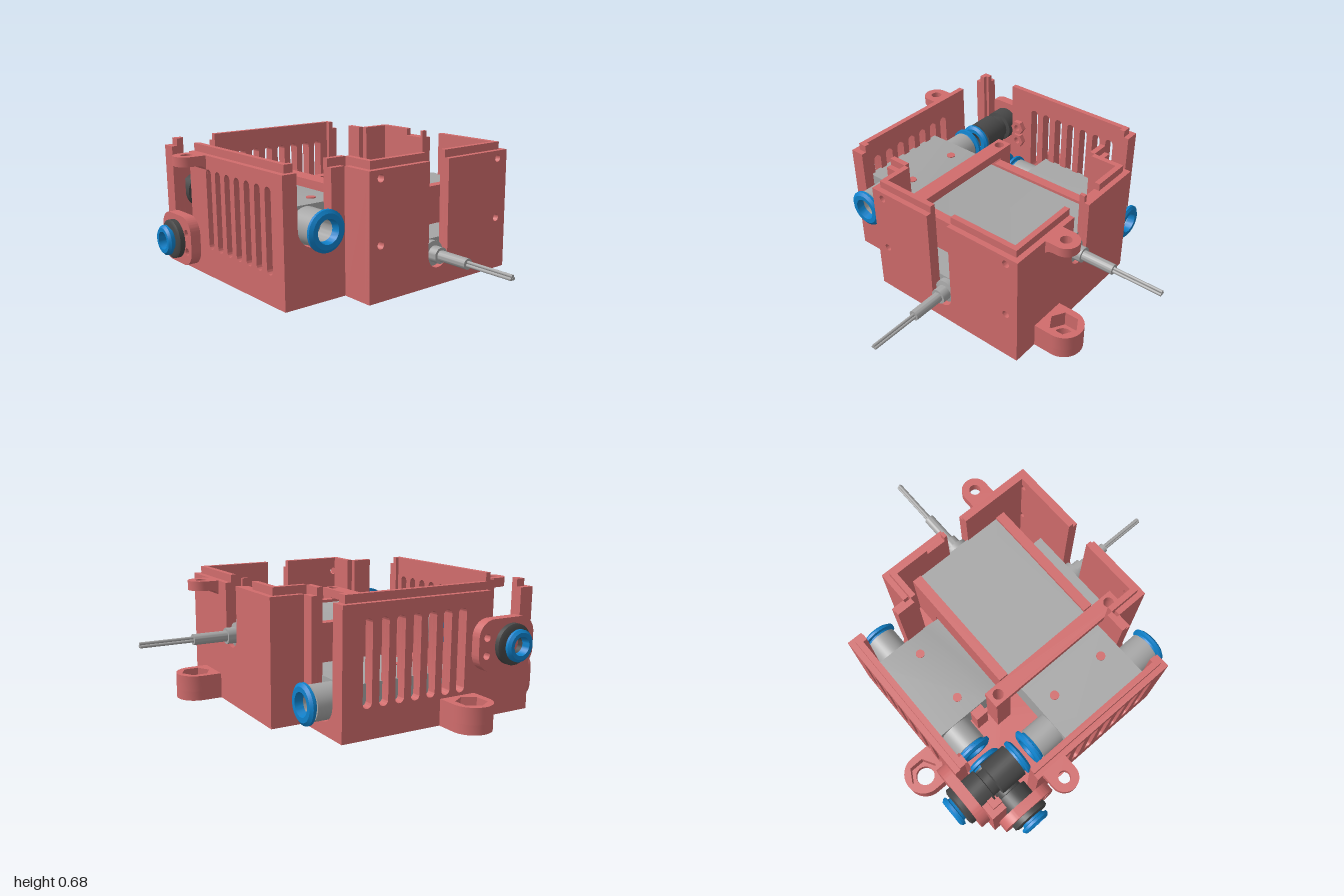
import * as THREE from 'three';
import { toCreasedNormals } from 'three/addons/utils/BufferGeometryUtils.js';

const mat = (name, color) => Object.assign(new THREE.MeshStandardMaterial({ color }), { name });
const V = (x, y, z) => new THREE.Vector3(x, y, z);

export function createModel() {
  const root = new THREE.Group();
  const red = mat('housing red', 0xd06c6c), gray = mat('valve gray', 0xa6a6a6);
  const dark = mat('fitting dark gray', 0x484848), blue = mat('collar blue', 0x0f82cc);

  const add = (parent, name, geo, m, x = 0, y = 0, z = 0) => {
    const mesh = new THREE.Mesh(geo, m);
    mesh.name = name;
    mesh.position.set(x, y, z);
    parent.add(mesh);
    return mesh;
  };
  const box = (name, x0, x1, y0, y1, z0, z1) => add(root, name,
    new THREE.BoxGeometry(x1 - x0, y1 - y0, z1 - z0), red, (x0 + x1) / 2, (y0 + y1) / 2, (z0 + z1) / 2);
  const extrude = (shape, depth) => toCreasedNormals(
    new THREE.ExtrudeGeometry(shape, { depth, bevelEnabled: false, curveSegments: 10 }), 0.6);
  const circle = (x, y, r) => new THREE.Path().absarc(x, y, r, 0, Math.PI * 2, false);
  const hex = (x, y, r) => new THREE.Path(Array.from({ length: 6 }, (_, i) =>
    new THREE.Vector2(x + r * Math.cos(i * Math.PI / 3), y + r * Math.sin(i * Math.PI / 3))));
  const poly = (pts, holes = []) => {
    const s = new THREE.Shape(pts.map(p => new THREE.Vector2(...p)));
    s.holes.push(...holes);
    return s;
  };
  const rect = (a, b, c, d, holes) => poly([[a, c], [b, c], [b, d], [a, d]], holes);
  // Horizontal slab: shape is drawn in (x, -z)
  const slab = (parent, name, shape, y0, h) =>
    add(parent, name, extrude(shape, h).rotateX(-Math.PI / 2), red, 0, y0, 0);
  // Lathed part pointing along dir
  const turned = (parent, name, pts, m, pos, dir) => {
    const geo = new THREE.LatheGeometry(pts.map(p => new THREE.Vector2(...p)), 32);
    const mesh = add(parent, name, toCreasedNormals(geo, 0.6), m, pos.x, pos.y, pos.z);
    mesh.quaternion.setFromUnitVectors(V(0, 1, 0), dir);
    return mesh;
  };

  // Floor with nut pockets below
  const outline = [[-0.82, 0.79], [0.3, 0.79], [0.3, 0.44], [0.48, 0.44],
    [0.48, -0.52], [-0.47, -0.52], [-0.47, -0.34], [-0.82, -0.34]];
  const strapHoles = [[-0.36, 0.37], [-0.36, -0.39]];
  const nuts = [[-0.18, 0.51], [0.14, 0.51], [-0.54, 0.15], [-0.54, -0.17], ...strapHoles];
  slab(root, 'floorUnderside', poly(outline, nuts.map(p => hex(...p, 0.036))), 0, 0.03);
  slab(root, 'floor', poly(outline, strapHoles.map(p => circle(...p, 0.025))), 0.03, 0.03);

  // Wall outline with open-topped notches [centre, half width, y, square], right to left
  const wallShape = (a, b, top, notches, holes) => {
    const s = new THREE.Shape();
    s.moveTo(a, 0).lineTo(b, 0).lineTo(b, top);
    for (const [c, r, y, square] of notches) {
      s.lineTo(c + r, top).lineTo(c + r, y);
      if (square) s.lineTo(c - r, y);
      else s.absarc(c, y, r, 0, Math.PI, true);
      s.lineTo(c - r, top);
    }
    s.lineTo(a, top);
    s.holes.push(...holes);
    return s;
  };
  const vents = first => Array.from({ length: 7 }, (_, i) => {
    const c = first + 0.09 * i, p = new THREE.Path();
    p.absarc(c, 0.545, 0.025, 0, Math.PI, false);
    p.absarc(c, 0.175, 0.025, Math.PI, Math.PI * 2, false);
    p.closePath();
    return p;
  });
  // Each wall is an outer skin plus an inner skin that rises into a lip
  const wall = (name, axis, pos, inward, a, b, ia, ib, notches = [], holes = [], lipGap = []) => {
    const T = 0.03;
    [[a, b, 0.64, 0, notches], [a + ia * T, b + ib * T, 0.68, T, [...notches, ...lipGap]]]
      .forEach(([u, v, top, off, cuts], i) => {
        const geo = extrude(wallShape(u, v, top, cuts, holes), T).translate(0, 0, -T / 2);
        if (axis === 'z') geo.rotateY(-Math.PI / 2);
        const mesh = add(root, name + (i ? 'Lip' : ''), geo, red);
        mesh.position[axis === 'z' ? 'x' : 'z'] = pos + inward * (off + T / 2);
      });
  };
  const screws = [[-0.4, 0.6], [0.41, 0.6], [-0.4, 0.28], [0.41, 0.28]].map(p => circle(...p, 0.02));
  const gap = [[-0.13, 0.057, 0.64, true]];
  wall('frontWall', 'x', 0.52, -1, -0.47, 0.48, 1, -1, [[-0.02, 0.066, 0.16]], screws);
  wall('frontSideWall', 'x', 0.34, -1, -0.82, -0.47, 1, 1, [[-0.645, 0.097, 0.375]]);
  wall('backWall', 'x', -0.79, 1, -0.82, 0.3, 1, -1, [[-0.645, 0.097, 0.375]], vents(-0.375));
  wall('backStepWall', 'x', -0.44, 1, 0.3, 0.48, -1, -1);
  wall('rightVentWall', 'z', -0.82, 1, -0.79, 0.34, 1, -1, [[-0.61, 0.097, 0.16]], vents(-0.32), []);
  wall('leftWall', 'z', 0.48, -1, -0.44, 0.52, 1, -1, [[0.01, 0.064, 0.375]], [], gap);
  wall('leftBackWall', 'z', 0.3, -1, -0.79, -0.44, 1, 1, [[-0.61, 0.097, 0.16]]);
  wall('frontStepWall', 'z', -0.47, 1, 0.34, 0.52, -1, -1);

  // Mounting lugs and cover tabs, pointing along local +x
  const lugShape = (r, len, hole) => {
    const s = new THREE.Shape();
    s.moveTo(-len, -r).lineTo(0, -r).absarc(0, 0, r, -Math.PI / 2, Math.PI / 2, false);
    s.lineTo(-len, r);
    s.holes.push(hole);
    return s;
  };
  for (const [x, z, turn] of [[-0.36, -0.895, Math.PI / 2], [0.585, 0.27, 0]]) {
    const g = new THREE.Group();
    g.name = 'mountingLug';
    g.position.set(x, 0, z);
    g.rotation.y = turn;
    slab(g, 'lugBase', lugShape(0.105, 0.11, circle(0, 0, 0.05)), 0, 0.05);
    slab(g, 'lugNutPocket', lugShape(0.105, 0.11, hex(0, 0, 0.078)), 0.05, 0.085);
    root.add(g);
  }
  for (const [x, z, turn] of [[-0.89, -0.41, Math.PI], [0.55, 0.24, 0]]) {
    const g = new THREE.Group();
    g.name = 'coverTab';
    g.position.set(x, 0, z);
    g.rotation.y = turn;
    slab(g, 'tab', lugShape(0.07, 0.08, circle(0, 0, 0.03)), 0.59, 0.05);
    const gusset = new THREE.Shape();
    gusset.moveTo(-0.08, 0.59).lineTo(-0.08, 0.54).quadraticCurveTo(-0.07, 0.59, -0.02, 0.59);
    add(g, 'tabFillet', extrude(gusset, 0.14), red, 0, 0, -0.07);
    root.add(g);
  }

  // Rounded backing plates for the bulkhead fittings
  const plate = (a, b, c, d, holes) => {
    const r = 0.09, s = new THREE.Shape();
    s.absarc(b - r, d - r, r, 0, Math.PI / 2, false);
    s.absarc(a + r, d - r, r, Math.PI / 2, Math.PI, false);
    s.absarc(a + r, c + r, r, Math.PI, Math.PI * 1.5, false);
    s.absarc(b - r, c + r, r, Math.PI * 1.5, Math.PI * 2, false);
    s.holes.push(...holes);
    return extrude(s, 0.055);
  };
  add(root, 'backFittingPlate', plate(-0.79, -0.44, 0.245, 0.508,
    [circle(-0.49, 0.33, 0.02), circle(-0.49, 0.42, 0.02)]), red, 0, 0, -0.842);
  add(root, 'sideFittingPlate', plate(-0.755, -0.44, 0.03, 0.295,
    [circle(-0.49, 0.11, 0.02), circle(-0.49, 0.21, 0.02)]).rotateY(-Math.PI / 2), red, -0.82, 0, 0);
  for (const y of [0.33, 0.42])
    add(root, 'nutBoss', extrude(poly(hex(-0.49, y, 0.045).getPoints().map(p => [p.x, p.y]),
      [circle(-0.49, y, 0.02)]), 0.03), red, 0, 0, -0.73);

  // Blue release collar
  const collar = (parent, pos, dir, k = 1) => turned(parent, 'releaseCollar',
    [[0.078 * k, 0], [0.082 * k, 0.012], [0.102 * k, 0.016], [0.102 * k, 0.03], [0.085 * k, 0.042],
      [0.06 * k, 0.042], [0.053 * k, 0]], blue, pos, dir);

  // Straight bulkhead unions; origin at the outer face of the body
  const union = (pos, dir) => {
    turned(root, 'bulkheadUnion', [[0, 0.06], [0.045, 0.06], [0.045, 0], [0.09, 0], [0.105, 0.008], [0.105, 0.035],
      [0.085, 0.04], [0.085, 0.08], [0.092, 0.085], [0.092, 0.17], [0.07, 0.175], [0.07, 0.215], [0.092, 0.22],
      [0.092, 0.365], [0.05, 0.365], [0.05, 0.3], [0, 0.3]], dark, pos, dir);
    collar(root, pos.clone(), dir.clone().negate(), 0.8);
    collar(root, pos.clone().addScaledVector(dir, 0.365), dir, 0.95);
  };
  union(V(-0.645, 0.375, -0.875), V(0, 0, 1));
  union(V(-0.91, 0.16, -0.61), V(1, 0, 0));

  // Solenoid valves: port block, coil, two push-in ports and a cable
  const valve = (name, x, y, z, turn) => {
    const g = new THREE.Group();
    g.name = name;
    g.position.set(x, y, z);
    g.rotation.y = turn;
    const side = poly([[-0.74, -0.1], [0.46, -0.1], [0.46, 0.07], [-0.31, 0.07], [-0.4, 0.095], [-0.74, 0.095]]);
    add(g, 'valveBody', extrude(side, 0.53).rotateY(-Math.PI / 2), gray, 0.265, 0, 0);
    for (const s of [-1, 1]) {
      turned(g, 'port', [[0.088, 0], [0.088, 0.14], [0.053, 0.14], [0.053, 0.05], [0, 0.05]],
        gray, V(s * 0.255, 0, -0.615), V(s, 0, 0));
      collar(g, V(s * 0.395, 0, -0.615), V(s, 0, 0));
      add(g, 'screwPost', new THREE.CylinderGeometry(0.024, 0.024, 0.008, 20), red, s * 0.16, 0.096, -0.51);
    }
    turned(g, 'cableGland', [[0.065, 0], [0.065, 0.035], [0.042, 0.04], [0.042, 0.09], [0.028, 0.09],
      [0.028, 0.27], [0, 0.27]], gray, V(0, 0, 0.455), V(0, 0, 1));
    for (let i = 0; i < 3; i++) {
      const a = i * Math.PI * 2 / 3 + Math.PI / 2;
      add(g, 'wire', new THREE.CylinderGeometry(0.008, 0.008, 0.28, 10).rotateX(Math.PI / 2), gray,
        0.009 * Math.cos(a), 0.009 * Math.sin(a), 0.86);
    }
    root.add(g);
  };
  valve('lowerValve', -0.022, 0.16, 0, 0);
  valve('upperValve', -0.033, 0.375, 0.01, Math.PI / 2);

  // Cradle carrying the upper valve over the lower one
  for (const [z0, z1] of [[-0.31, -0.256], [0.276, 0.33]]) {
    box('cradleRail', -0.3, 0.43, 0.256, 0.46, z0, z1);
    box('cradleLeg', 0.25, 0.43, 0.05, 0.256, z0, z1);
  }
  box('cradleBase', -0.3, 0.43, 0.256, 0.277, -0.26, 0.28);
  for (const z of [-0.15, 0.17])
    add(root, 'valvePost', new THREE.CylinderGeometry(0.06, 0.06, 0.22, 24), red, -0.54, 0.165, z);
  box('floorPost', -0.35, -0.295, 0.05, 0.28, -0.51, -0.44);

  // Clamp strap across the upper valve, on two drilled pillars
  for (const [x, v] of strapHoles)
    slab(root, 'strapPillar', rect(-0.405, -0.315, v - 0.045, v + 0.045, [circle(x, v, 0.028)]), 0.05, 0.41);
  slab(root, 'clampStrap', rect(-0.405, -0.315, -0.44, 0.42, strapHoles.map(p => circle(...p, 0.028))), 0.458, 0.05);

  return root;
}
